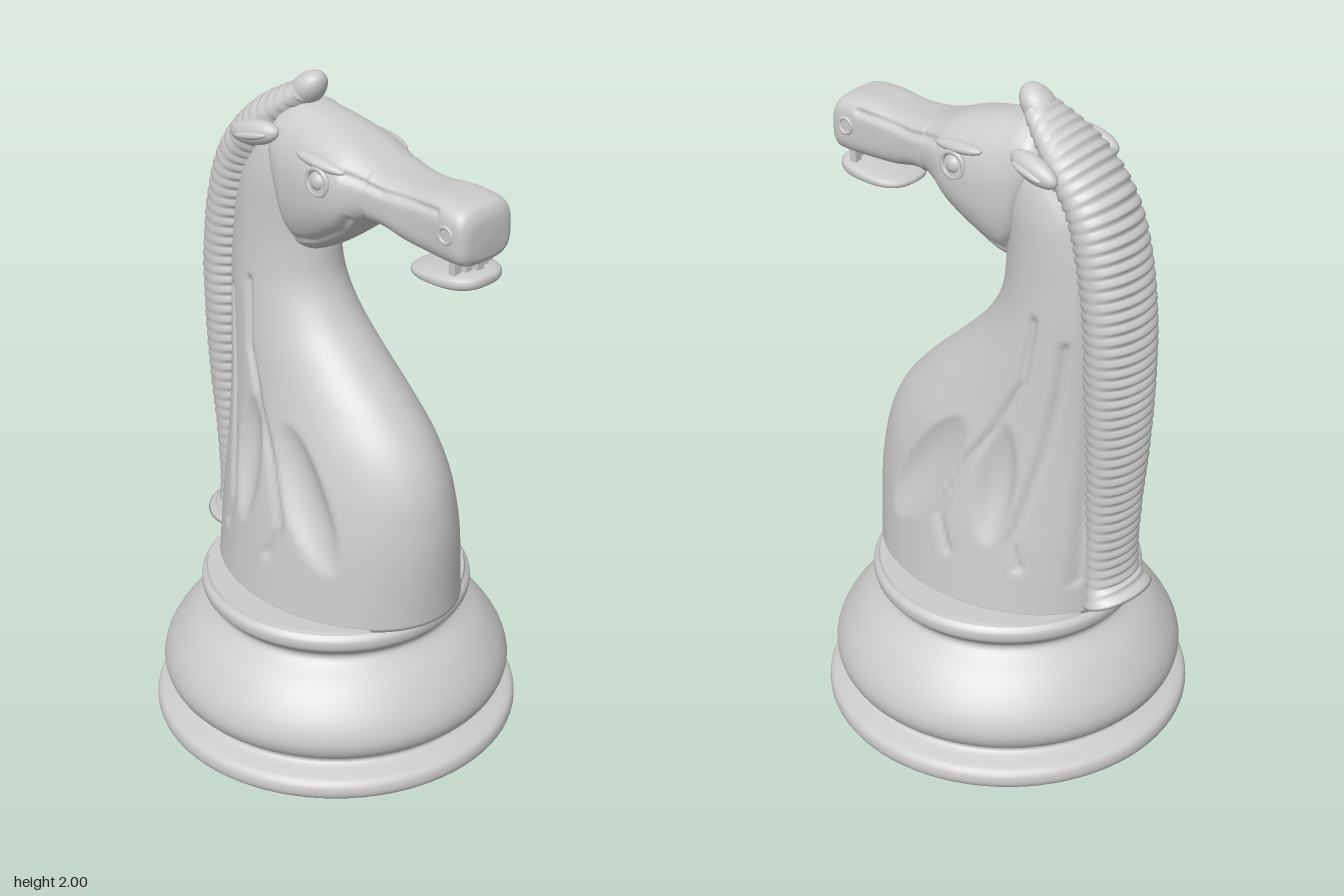
import * as THREE from 'three';

const grey = new THREE.MeshStandardMaterial({ color: 0xcccccc });
const felt = new THREE.MeshStandardMaterial({ color: 0x10281c });

// Smooth lookup in a table whose rows are [key, value, value...]
function sample(table, k) {
  let i = 0;
  while (i < table.length - 2 && k > table[i + 1][0]) i++;
  const a = table[i], b = table[i + 1], h = b[0] - a[0];
  const t = Math.min(1, Math.max(0, (k - a[0]) / h));
  const p = table[i - 1] || a, n = table[i + 2] || b;
  return a.slice(1).map((_, c) => {
    c++;
    const m0 = (b[c] - p[c]) / (b[0] - p[0]) * h, m1 = (n[c] - a[c]) / (n[0] - a[0]) * h;
    const t2 = t * t, t3 = t2 * t;
    return a[c] * (2 * t3 - 3 * t2 + 1) + m0 * (t3 - 2 * t2 + t) + b[c] * (3 * t2 - 2 * t3) + m1 * (t3 - t2);
  });
}

// Closed skin over rows of points; point(u, angle) returns [x, y, z]
function loft(rows, cols, point) {
  const pos = [], idx = [];
  for (let i = 0; i <= rows; i++)
    for (let j = 0; j < cols; j++) pos.push(...point(i / rows, j / cols * Math.PI * 2));
  for (let i = 0; i < rows; i++)
    for (let j = 0; j < cols; j++) {
      const k = (j + 1) % cols, a = i * cols + j, b = i * cols + k;
      idx.push(a, a + cols, b, b, a + cols, b + cols);
    }
  // End caps
  for (const row of [0, rows]) {
    const c = [0, 0, 0];
    for (let j = 0; j < cols; j++) for (let d = 0; d < 3; d++) c[d] += pos[(row * cols + j) * 3 + d] / cols;
    const centre = pos.length / 3;
    pos.push(...c);
    for (let j = 0; j < cols; j++) {
      const a = row * cols + j, b = row * cols + (j + 1) % cols;
      if (row) idx.push(a, centre, b); else idx.push(a, b, centre);
    }
  }
  const g = new THREE.BufferGeometry();
  g.setAttribute('position', new THREE.Float32BufferAttribute(pos, 3));
  g.setIndex(idx);
  g.computeVertexNormals();
  return g;
}

// Distance from a point to a polyline in the side plane
function lineDistance(x, y, line) {
  let best = Infinity;
  for (let i = 0; i < line.length - 1; i++) {
    const [ax, ay] = line[i], dx = line[i + 1][0] - ax, dy = line[i + 1][1] - ay;
    const t = Math.min(1, Math.max(0, ((x - ax) * dx + (y - ay) * dy) / (dx * dx + dy * dy)));
    best = Math.min(best, Math.hypot(x - ax - t * dx, y - ay - t * dy));
  }
  return best;
}
const carve = (x, y, lines, depth, radius) =>
  lines.reduce((s, l) => Math.max(s, depth * Math.exp(-((lineDistance(x, y, l) / radius) ** 2))), 0);

const pow = (v, e) => Math.sign(v) * Math.abs(v) ** e;

// Body sections: height, back x, front x, half width
const BODY = [
  [0.49, -0.41, 0.395, 0.298], [0.7, -0.405, 0.4, 0.268], [0.8, -0.4, 0.392, 0.25], [0.9, -0.397, 0.37, 0.23],
  [1, -0.395, 0.318, 0.208], [1.1, -0.395, 0.23, 0.186], [1.2, -0.395, 0.125, 0.168], [1.3, -0.393, 0.03, 0.153],
  [1.4, -0.39, -0.028, 0.142], [1.5, -0.383, -0.045, 0.134], [1.6, -0.37, -0.045, 0.13], [1.7, -0.34, -0.03, 0.125],
  [1.8, -0.28, -0.02, 0.105], [1.88, -0.18, -0.05, 0.06],
];
const BODY_GROOVES = [
  [[-0.31, 1.33], [-0.3, 1.2], [-0.27, 1], [-0.24, 0.85], [-0.21, 0.72], [-0.235, 0.64]],
  [[-0.22, 1.39], [-0.2, 1.2], [-0.13, 1.05], [-0.05, 0.92], [0, 0.8], [0.02, 0.73], [-0.02, 0.64]],
  [[-0.365, 0.6], [-0.365, 1.3], [-0.345, 1.55], [-0.3, 1.7], [-0.25, 1.77]],
];
// Scooped ovals: centre x, y, half width, half length, tilt, depth
const HOLLOWS = [[-0.15, 0.88, 0.058, 0.19, 0.04, 0.035], [0.09, 0.845, 0.075, 0.225, 0.55, 0.035]];

function bodyGeometry() {
  return loft(130, 180, (u, a) => {
    const y = 0.49 + u * 1.39;
    const [back, front, w] = sample(BODY, y);
    const x = (back + front) / 2 + (front - back) / 2 * Math.cos(a);
    let z = w * Math.sin(a), cut = carve(x, y, BODY_GROOVES, 0.014, 0.011);
    for (const [cx, cy, rx, ry, tilt, depth] of HOLLOWS) {
      const c = Math.cos(tilt), s = Math.sin(tilt), dx = x - cx, dy = y - cy;
      const q = ((dx * c + dy * s) / rx) ** 2 + ((dy * c - dx * s) / ry) ** 2;
      if (q < 1) cut += depth * (1 - q);
    }
    z -= Math.sign(z) * cut * Math.min(1, Math.abs(z) / 0.1);
    return [x, y, z];
  });
}

// Head sections: x, top, bottom, half width, roundness
const HEAD = [
  [-0.2, 1.86, 1.76, 0.07, 0.9], [-0.16, 1.9, 1.69, 0.115, 0.85], [-0.12, 1.915, 1.55, 0.132, 0.8],
  [-0.09, 1.915, 1.5, 0.138, 0.8], [0, 1.9, 1.53, 0.147, 0.8], [0.1, 1.872, 1.6, 0.143, 0.75],
  [0.17, 1.843, 1.66, 0.12, 0.7], [0.23, 1.823, 1.675, 0.107, 0.65], [0.32, 1.815, 1.657, 0.098, 0.6],
  [0.42, 1.824, 1.65, 0.097, 0.55], [0.5, 1.818, 1.65, 0.1, 0.55], [0.53, 1.803, 1.655, 0.093, 0.6],
  [0.543, 1.775, 1.675, 0.07, 0.7],
];
const HEAD_GROOVES = [
  [[-0.155, 1.71], [-0.135, 1.62], [-0.085, 1.55], [0, 1.57], [0.1, 1.63], [0.14, 1.68]],
  [[0.13, 1.805], [0.25, 1.787], [0.44, 1.792]],
];

function headGeometry() {
  return loft(130, 96, (u, a) => {
    const x = -0.2 + u * 0.743;
    const [top, bottom, w, e] = sample(HEAD, x);
    const c = pow(Math.cos(a), e);
    const y = (top + bottom) / 2 + (top - bottom) / 2 * c;
    const taper = x < 0.2 ? 1 - 0.12 * c * c : 1;
    let z = -w * taper * pow(Math.sin(a), e);
    z *= 1 - carve(x, y, HEAD_GROOVES, 0.09, 0.009);
    return [x, y, z];
  });
}

// Mane path: parameter, x, y, depth, half width
const MANE = [
  [0.52, -0.42, 0.52, 0.085, 0.12], [0.58, -0.4, 0.58, 0.06, 0.1], [0.8, -0.4, 0.8, 0.065, 0.1],
  [1, -0.41, 1, 0.072, 0.11], [1.2, -0.41, 1.2, 0.082, 0.12], [1.4, -0.405, 1.4, 0.083, 0.125],
  [1.6, -0.375, 1.6, 0.083, 0.125], [1.74, -0.33, 1.73, 0.077, 0.12], [1.87, -0.25, 1.83, 0.068, 0.11],
  [1.97, -0.18, 1.895, 0.05, 0.085], [2.05, -0.12, 1.945, 0.035, 0.055],
];

function maneGeometry() {
  const ridges = 48, steps = 5;
  return loft(ridges * steps, 40, (u, a) => {
    const k = 0.52 + u * 1.53;
    const [x, y, depth, w] = sample(MANE, k);
    const [x0, y0] = sample(MANE, k - 0.01), [x1, y1] = sample(MANE, k + 0.01);
    const len = Math.hypot(x1 - x0, y1 - y0), nx = -(y1 - y0) / len, ny = (x1 - x0) / len;
    const step = Math.round(u * ridges * steps) % steps / (steps - 1);
    const s = 1.03 - 0.17 * step * step;
    const d = depth * s * Math.cos(a);
    return [x + nx * d, y + ny * d, -w * (0.92 + 0.08 * s) * Math.sin(a)];
  });
}

export function createModel() {
  const model = new THREE.Group();
  const add = (name, geometry, x = 0, y = 0, z = 0, material = grey) => {
    const m = new THREE.Mesh(geometry, material);
    m.name = name;
    m.position.set(x, y, z);
    model.add(m);
    return m;
  };
  const ellipsoid = (name, p, r, rot = [0, 0, 0]) => {
    const m = add(name, new THREE.SphereGeometry(1, 24, 14), ...p);
    m.scale.set(...r);
    m.rotation.set(...rot);
  };

  // Turned pedestal
  const profile = new THREE.SplineCurve([
    [0.475, 0.012], [0.49, 0.022], [0.525, 0.032], [0.536, 0.055], [0.525, 0.085], [0.475, 0.103], [0.46, 0.115],
    [0.468, 0.132], [0.498, 0.155], [0.511, 0.2], [0.49, 0.262], [0.435, 0.335], [0.375, 0.385], [0.362, 0.408],
    [0.375, 0.428], [0.391, 0.445], [0.393, 0.472], [0.38, 0.488],
  ].map(p => new THREE.Vector2(...p))).getPoints(68);
  add('pedestal', new THREE.LatheGeometry(profile, 80), -0.02);
  add('pedestalTop', new THREE.CylinderGeometry(0.375, 0.383, 0.02, 80), -0.02, 0.488);
  add('feltPad', new THREE.CylinderGeometry(0.476, 0.47, 0.014, 80), -0.02, 0.007, 0, felt);

  // Horse
  add('neckAndChest', bodyGeometry());
  add('head', headGeometry());
  add('mane', maneGeometry());
  ellipsoid('forelock', [-0.125, 1.943, 0], [0.07, 0.042, 0.05], [0, 0, 0.8]);

  // Lower lip and teeth
  const lip = new THREE.SphereGeometry(1, 36, 20);
  const lp = lip.attributes.position;
  for (let i = 0; i < lp.count; i++) {
    const x = pow(lp.getX(i), 0.8), y = pow(lp.getY(i), 0.7);
    const thick = 0.024 + 0.006 * x;
    lp.setXYZ(i, 0.43 + 0.12 * x, 1.598 + thick * y + 0.008 * x, 0.098 * pow(lp.getZ(i), 0.75));
  }
  lip.computeVertexNormals();
  add('lowerLip', lip);
  for (let i = 0; i < 5; i++)
    add('tooth', new THREE.BoxGeometry(0.022, 0.04, 0.024), 0.505 - 0.012 * Math.abs(i - 2), 1.638, (i - 2) * 0.03);

  // Paired features
  for (const s of [1, -1]) {
    ellipsoid('ear', [-0.205, 1.83, s * 0.122], [0.085, 0.036, 0.032], [0, s * 0.12, 0.22]);
    ellipsoid('earFold', [-0.2, 1.828, s * 0.146], [0.055, 0.012, 0.014], [0, s * 0.12, 0.22]);
    ellipsoid('brow', [0.05, 1.818, s * 0.122], [0.085, 0.017, 0.026], [0, s * 0.08, -0.1]);
    ellipsoid('eye', [0.055, 1.77, s * 0.135], [0.026, 0.026, 0.02]);
    add('eyelid', new THREE.TorusGeometry(0.037, 0.008, 10, 32), 0.055, 1.77, s * 0.141);
    add('nostril', new THREE.TorusGeometry(0.022, 0.006, 10, 28), 0.48, 1.742, s * 0.098);
  }
  return model;
}
